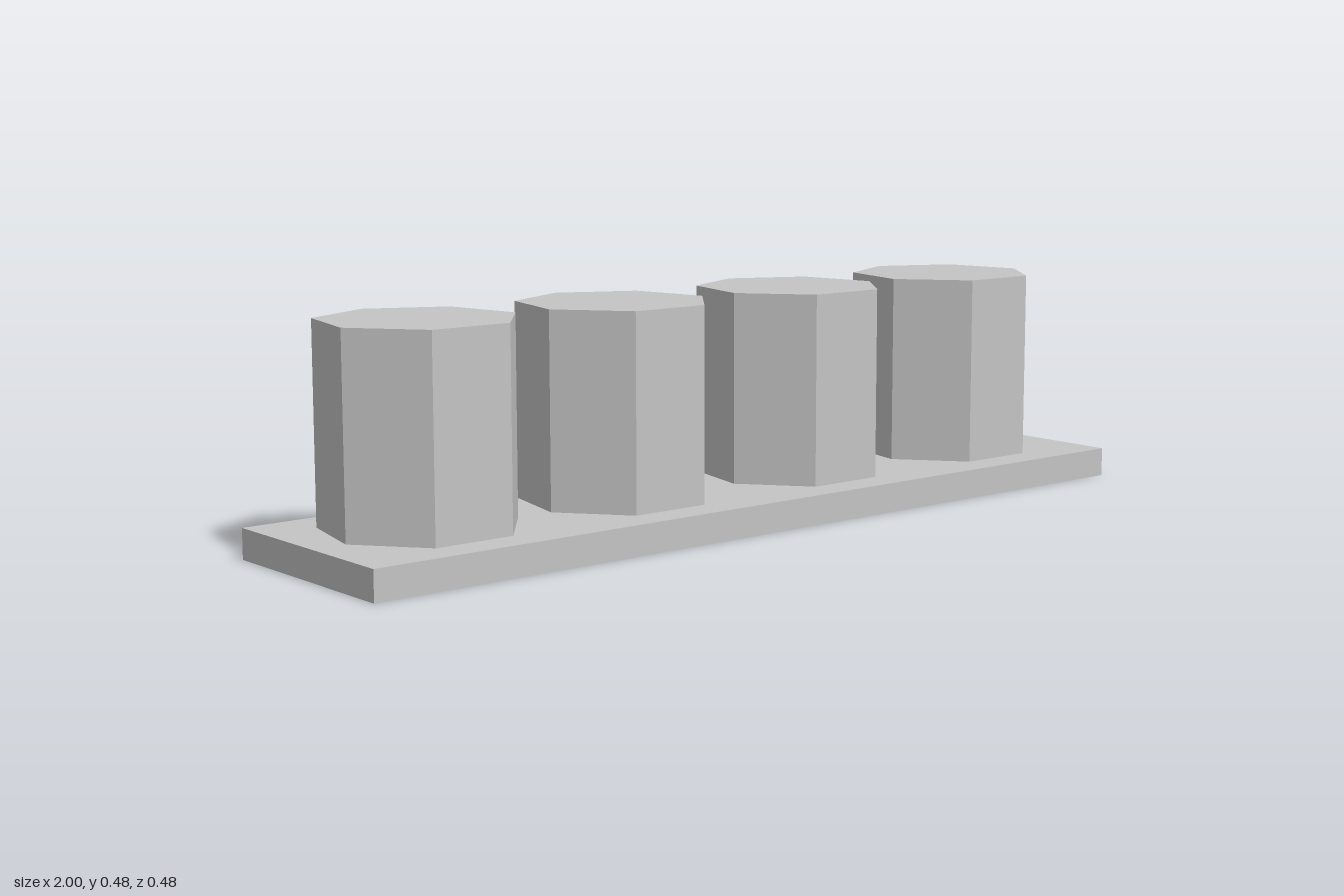
import * as THREE from 'three';

export function createModel() {
  const model = new THREE.Group();
  const grey = new THREE.MeshStandardMaterial({ color: 0xc4c4c4, flatShading: true });
  grey.name = 'light grey';

  // Flat rectangular base
  const baseHeight = 0.064;
  const base = new THREE.Mesh(new THREE.BoxGeometry(2, baseHeight, 0.48), grey);
  base.name = 'base';
  base.position.y = baseHeight / 2;
  model.add(base);

  // Row of seven-sided posts, one corner pointing back, hovering just above the base
  const bottom = 0.069, top = 0.48;
  const postGeometry = new THREE.CylinderGeometry(0.204, 0.204, top - bottom, 7, 1, false, Math.PI);
  [-0.74, -0.261, 0.225, 0.698].forEach((x, i) => {
    const post = new THREE.Mesh(postGeometry, grey);
    post.name = `post${i + 1}`;
    post.position.set(x, (top + bottom) / 2, 0);
    model.add(post);
  });

  return model;
}
